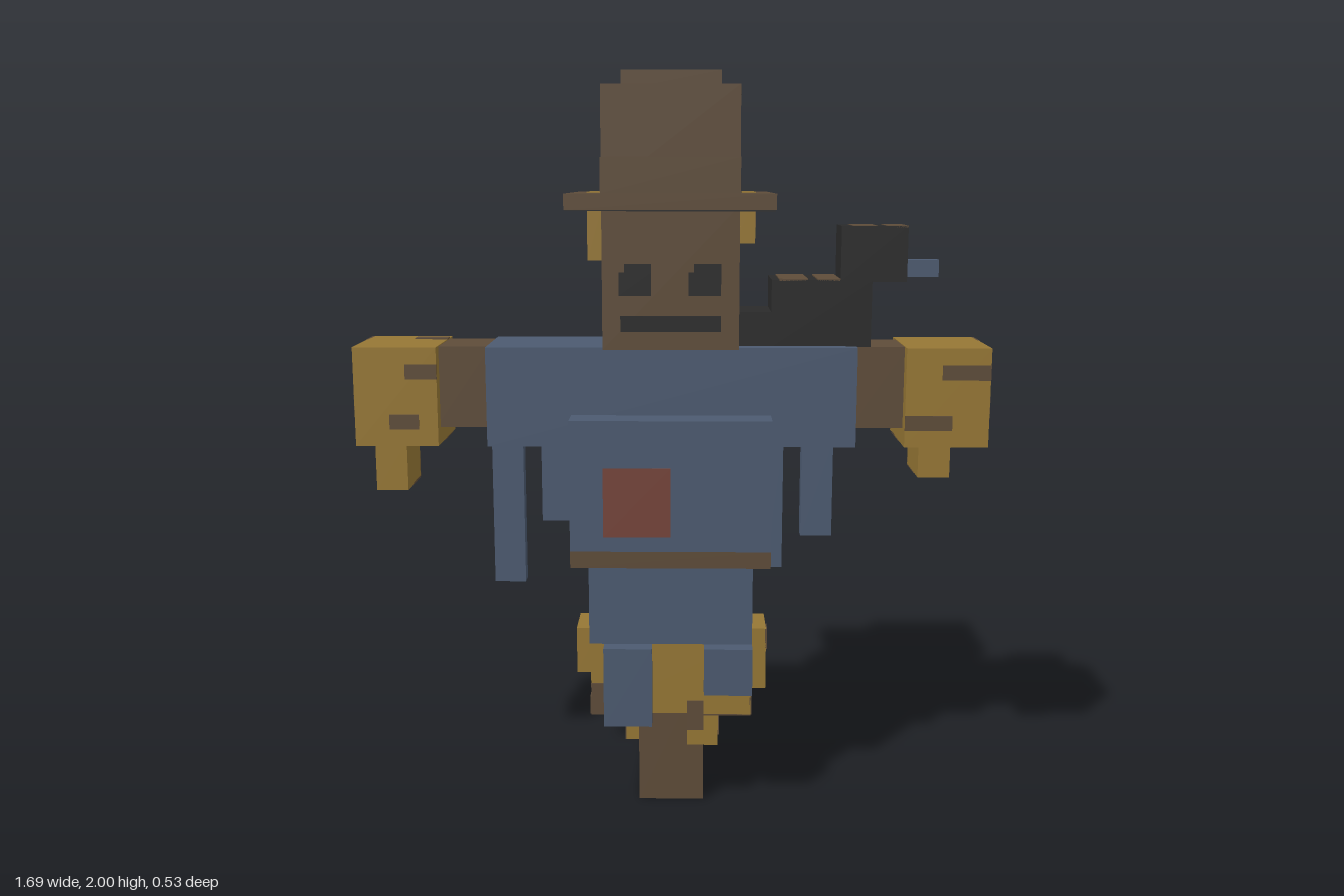
import * as THREE from 'three';

const material = (name, color) => {
  const m = new THREE.MeshStandardMaterial({ color });
  m.name = name;
  return m;
};

export function createModel() {
  const wood = material('brown', 0x5e4c39);
  const cloth = material('blue cloth', 0x4c5a70);
  const straw = material('straw', 0x967735);
  const dark = material('black', 0x2a2a2a);
  const red = material('red patch', 0x75443a);
  const model = new THREE.Group();
  model.name = 'scarecrow';

  // Box given by its limits on each axis
  function box(name, mat, [x0, x1], [y0, y1], [z0, z1]) {
    const mesh = new THREE.Mesh(new THREE.BoxGeometry(x1 - x0, y1 - y0, z1 - z0), mat);
    mesh.position.set((x0 + x1) / 2, (y0 + y1) / 2, (z0 + z1) / 2);
    mesh.name = name;
    model.add(mesh);
  }
  // Thin painted plate on a face; a and b are the ranges on the other two axes, in x, y, z order
  function paint(name, mat, axis, at, a, b) {
    const t = [at - 0.003, at + 0.003];
    if (axis === 'x') box(name, mat, t, a, b);
    if (axis === 'y') box(name, mat, a, t, b);
    if (axis === 'z') box(name, mat, a, b, t);
  }
  const sym = (r) => [-r, r];

  // Post and straw stuffing at the waist
  box('post', wood, sym(0.09), [0, 0.4], sym(0.09));
  box('waistStraw', straw, sym(0.22), [0.27, 0.49], sym(0.13));
  box('sideStrawLeft', straw, [0.2, 0.265], [0.315, 0.49], [-0.09, 0.045]);
  box('sideStrawRight', straw, [-0.265, -0.2], [0.36, 0.49], [-0.09, 0.045]);
  box('hangingStrawLeft', straw, [0.045, 0.13], [0.18, 0.27], [0, 0.13]);
  box('hangingStrawRight', straw, [-0.13, -0.045], [0.14, 0.27], [-0.09, 0]);

  // Brown blotches on the waist straw
  paint('waistBlotch', wood, 'z', 0.13, [0.045, 0.09], [0.225, 0.31]);
  paint('waistBlotch', wood, 'z', 0.13, [-0.22, -0.18], [0.27, 0.36]);
  paint('waistBlotch', wood, 'x', 0.13, [0.21, 0.27], [0, 0.13]);
  paint('waistBlotch', wood, 'x', -0.13, [0.14, 0.18], [-0.09, 0]);
  paint('waistBlotch', wood, 'y', 0.27, sym(0.22), sym(0.13));
  for (const [x, y] of [
    [[-0.22, -0.1], [0.27, 0.38]], [[-0.1, 0.05], [0.27, 0.33]], [[0.05, 0.14], [0.27, 0.36]],
    [[-0.04, 0.05], [0.39, 0.44]], [[-0.2, -0.13], [0.42, 0.49]],
  ]) paint('waistBackBlotch', wood, 'z', -0.13, x, y);
  for (const s of [-1, 1]) for (const [y, z] of [
    [[0.27, 0.32], [-0.13, 0.13]], [[0.4, 0.47], [0.05, 0.09]], [[0.32, 0.45], [-0.13, -0.1]],
  ]) paint('waistSideBlotch', wood, 'x', s * 0.22, y, z);
  paint('sideBlotch', wood, 'x', 0.265, [0.39, 0.47], [-0.09, -0.06]);
  paint('sideBlotch', wood, 'x', 0.265, [0.43, 0.49], [0, 0.045]);

  // Shirt, belt and shoulders
  box('shirtSkirt', cloth, sym(0.22), [0.49, 0.72], sym(0.177));
  box('belt', wood, sym(0.265), [0.715, 0.76], sym(0.22));
  box('torso', cloth, sym(0.265), [0.76, 1.11], sym(0.22));
  paint('chestPatch', red, 'z', 0.22, [-0.177, 0], [0.8, 0.985]);
  box('shoulders', cloth, sym(0.49), [1.025, 1.29], sym(0.13));

  // Torn cloth hanging from sleeves and shirt
  for (const [x, y] of [
    [[-0.49, -0.405], 0.625], [[-0.355, -0.27], 0.8], [[0.355, 0.44], 0.76], [[0.26, 0.305], 0.67],
  ]) box('clothStrip', cloth, x, [y, 1.03], [0, 0.045]);
  box('frontFlapRight', cloth, [-0.18, -0.05], [0.27, 0.49], [0.177, 0.22]);
  box('frontFlapLeft', cloth, [0.09, 0.22], [0.36, 0.49], [0.177, 0.22]);

  // Arms and straw hands
  for (const s of [-1, 1]) {
    const side = s > 0 ? 'Left' : 'Right';
    const span = (a, b) => (s > 0 ? [a, b] : [-b, -a]);
    box('arm' + side, wood, span(0.48, 0.63), [1.07, 1.288], sym(0.09));
    box('hand' + side, straw, span(0.62, 0.842), [1.025, 1.29], sym(0.13));
    const drop = s > 0 ? [0.665, 0.75] : [0.715, 0.8];
    box('fingers' + side, straw, span(...drop), [s > 0 ? 0.935 : 0.895, 1.03], sym(0.09));
    paint('fingerBlotch', wood, 'y', s > 0 ? 0.935 : 0.895, span(...drop), [-0.09, 0.02]);
    paint('fingerBlotch', wood, 'z', -0.09, span(...drop), s > 0 ? [0.935, 0.97] : [0.895, 0.95]);
    // Blotches on back, outer side and underside of the hand
    for (const [x, y] of [
      [[0.62, 0.71], [1.205, 1.24]], [[0.74, 0.842], [1.15, 1.19]],
      [[0.66, 0.75], [1.08, 1.12]], [[0.62, 0.68], [1.025, 1.06]],
    ]) paint('handBackBlotch', wood, 'z', -0.13, span(...x), y);
    for (const [y, z] of [
      [[1.16, 1.205], [-0.06, 0.06]], [[1.1, 1.16], [-0.11, 0.12]],
      [[1.04, 1.1], [-0.13, -0.05]], [[1.25, 1.29], [-0.13, -0.045]],
    ]) paint('handSideBlotch', wood, 'x', s * 0.842, y, z);
    paint('handUnderBlotch', wood, 'y', 1.025, span(0.62, 0.842), [-0.1, 0.02]);
  }
  paint('handFrontBlotch', wood, 'z', 0.13, [0.715, 0.842], [1.205, 1.245]);
  paint('handFrontBlotch', wood, 'z', 0.13, [0.62, 0.745], [1.07, 1.11]);
  paint('handFrontBlotch', wood, 'z', 0.13, [-0.705, -0.62], [1.205, 1.245]);
  paint('handFrontBlotch', wood, 'z', 0.13, [-0.75, -0.67], [1.07, 1.11]);
  paint('handTopBlotch', wood, 'y', 1.29, [-0.71, -0.62], [-0.09, -0.055]);

  // Head and face
  box('head', wood, sym(0.177), [1.29, 1.66], sym(0.177));
  for (const x of [-0.092, 0.088]) {
    paint('eye', dark, 'z', 0.177, [x - 0.042, x + 0.042], [1.43, 1.49]);
    paint('eyeTop', dark, 'z', 0.177, [x - 0.028, x + 0.042], [1.49, 1.512]);
  }
  paint('mouth', dark, 'z', 0.177, sym(0.13), [1.337, 1.378]);

  // Straw hair poking through the hat brim
  box('hairLeft', straw, [0.17, 0.22], [1.56, 1.693], sym(0.088));
  box('hairRight', straw, [-0.22, -0.17], [1.515, 1.693], [-0.045, 0.088]);
  paint('hairTuft', straw, 'x', 0.177, [1.565, 1.605], [0.09, 0.13]);
  paint('hairBlotch', wood, 'x', 0.22, [1.6, 1.65], [0.0, 0.05]);
  paint('hairBlotch', wood, 'x', -0.22, [1.6, 1.65], [0.0, 0.045]);

  // Hat
  box('hatBrim', wood, sym(0.265), [1.65, 1.69], sym(0.265));
  paint('brimUnderside', dark, 'y', 1.65, sym(0.263), sym(0.263));
  box('hatCrown', wood, sym(0.177), [1.69, 1.96], sym(0.177));
  box('hatFront', wood, sym(0.177), [1.69, 1.78], [0.17, 0.22]);
  box('hatTop', wood, sym(0.13), [1.95, 2], sym(0.09));
  paint('hatBand', dark, 'z', -0.177, sym(0.177), [1.69, 1.735]);
  paint('hatBand', dark, 'x', 0.177, [1.69, 1.735], [-0.177, 0.155]);
  paint('hatBandRise', dark, 'x', 0.177, [1.735, 1.765], [-0.177, -0.13]);
  paint('hatSpot', dark, 'x', 0.177, [1.935, 1.957], [0.09, 0.13]);
  paint('hatSpot', dark, 'x', 0.177, [1.935, 1.957], [-0.035, 0]);

  // Crow perched on the left shoulder
  box('crowTail', dark, [0.17, 0.27], [1.29, 1.38], sym(0.088));
  box('crowBody', dark, [0.265, 0.53], [1.288, 1.465], sym(0.088));
  box('crowHead', dark, [0.445, 0.62], [1.46, 1.605], [-0.045, 0.088]);
  box('crowBeak', cloth, [0.61, 0.71], [1.47, 1.515], [0, 0.043]);
  for (const x of [[0.285, 0.36], [0.385, 0.445]])
    paint('crowBackFeathers', wood, 'y', 1.465, x, sym(0.088));
  for (const x of [[0.475, 0.54], [0.565, 0.62]])
    paint('crowHeadFeathers', wood, 'y', 1.603, x, [-0.045, 0.088]);

  return model;
}
